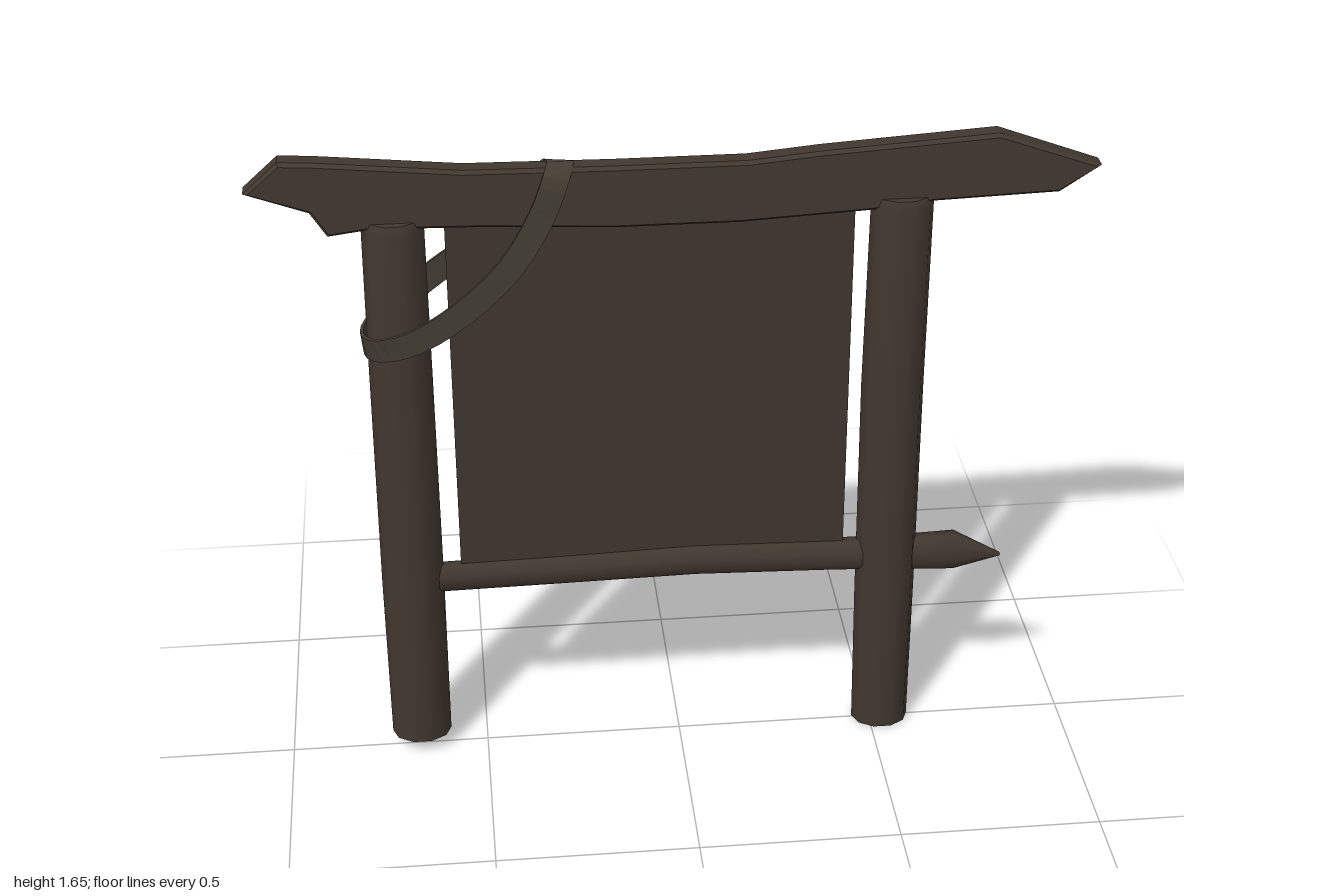
import * as THREE from 'three';

const wood = new THREE.MeshStandardMaterial({ color: 0x41372f });
wood.name = 'dark wood';
const board = new THREE.MeshStandardMaterial({ color: 0x3f352f });
board.name = 'panel brown';
const leather = new THREE.MeshStandardMaterial({ color: 0x423c32 });
leather.name = 'strap brown';

// Joins rings of points into a skin, optionally closing the ends or the loop
function skin(rings, { caps = false, loop = false } = {}) {
  const n = rings[0].length, pos = [], idx = [];
  rings.forEach(r => r.forEach(p => pos.push(p.x, p.y, p.z)));
  const spans = loop ? rings.length : rings.length - 1;
  for (let i = 0; i < spans; i++) {
    const k = (i + 1) % rings.length;
    for (let j = 0; j < n; j++) {
      const m = (j + 1) % n;
      const a = i * n + j, b = i * n + m, c = k * n + m, d = k * n + j;
      idx.push(a, b, c, a, c, d);
    }
  }
  if (caps) {
    [rings[0], rings[rings.length - 1]].forEach((r, e) => {
      const s = pos.length / 3;
      r.forEach(p => pos.push(p.x, p.y, p.z));
      for (let j = 1; j < n - 1; j++) {
        if (e) idx.push(s, s + j, s + j + 1);
        else idx.push(s, s + j + 1, s + j);
      }
    });
  }
  const g = new THREE.BufferGeometry();
  g.setAttribute('position', new THREE.Float32BufferAttribute(pos, 3));
  g.setIndex(idx);
  return g;
}

function add(group, name, geometry, material) {
  const mesh = new THREE.Mesh(geometry, material);
  mesh.name = name;
  group.add(mesh);
}

// Upright log: sections are [x, y, z, radiusX, radiusZ], bottom to top
function post(sections) {
  const rings = sections.map(([x, y, z, rx, rz]) => Array.from({ length: 10 }, (_, j) => {
    const t = -j / 10 * Math.PI * 2;
    return new THREE.Vector3(x + rx * Math.cos(t), y, z + rz * Math.sin(t));
  }));
  const g = skin(rings, { caps: true });
  g.computeVertexNormals();
  return g;
}

// Lying log: sections are [x, y, radiusY, radiusZ], from -x to +x
function rail(sections) {
  const rings = sections.map(([x, y, ry, rz]) => Array.from({ length: 8 }, (_, j) => {
    const t = (j + 0.5) / 8 * Math.PI * 2;
    return new THREE.Vector3(x, y + 1.08 * ry * Math.cos(t), -0.003 + 1.08 * rz * Math.sin(t));
  }));
  const g = skin(rings, { caps: true });
  g.computeVertexNormals();
  return g;
}

// Closed strap: points are [x, y, z, twist in degrees]
function strap(points, width, thick) {
  const path = new THREE.CatmullRomCurve3(points.map(p => new THREE.Vector3(p[0], p[1], p[2])), true);
  const N = points.length * 3, rings = [];
  for (let i = 0; i < N; i++) {
    const u = i / N, f = u * points.length, k = Math.floor(f);
    const a0 = points[k][3], a1 = points[(k + 1) % points.length][3];
    const a = THREE.MathUtils.degToRad(a0 + (a1 - a0) * (f - k));
    const p = path.getPoint(u), across = new THREE.Vector3(Math.cos(a), -Math.sin(a), 0);
    const out = path.getTangent(u).cross(across).normalize();
    rings.push([[1, 1], [-1, 1], [-1, -1], [1, -1]].map(([s, t]) => p.clone()
      .addScaledVector(across, s * width / 2).addScaledVector(out, t * thick / 2)));
  }
  const g = skin(rings, { loop: true }).toNonIndexed();
  g.computeVertexNormals();
  return g;
}

export function createModel() {
  const group = new THREE.Group();

  // Sagging top beam with rough hewn ends
  const outline = [
    [-1, 1.58], [-0.853, 1.526], [-0.815, 1.465], [-0.714, 1.478], [-0.47, 1.473],
    [-0.15, 1.457], [0.142, 1.457], [0.447, 1.473], [0.6, 1.49], [0.896, 1.5],
    [0.993, 1.564], [0.746, 1.655], [0.33, 1.628], [0.158, 1.612], [-0.15, 1.612],
    [-0.5, 1.617], [-0.837, 1.65], [-0.917, 1.655],
  ].map(p => new THREE.Vector2(...p));
  const beam = new THREE.ExtrudeGeometry(new THREE.Shape(outline), {
    depth: 0.04, bevelThickness: 0.01, bevelSize: 0.008, bevelOffset: -0.008, bevelSegments: 1,
  });
  beam.translate(0, 0, -0.025);
  add(group, 'topBeam', beam, wood);

  // Two posts, slightly crooked
  add(group, 'rightPost', post([
    [-0.668, 0.04, -0.005, 0.075, 0.06], [-0.668, 0.5, -0.005, 0.077, 0.065],
    [-0.667, 1.1, -0.003, 0.075, 0.064], [-0.666, 1.47, -0.005, 0.073, 0.06],
    [-0.666, 1.495, -0.005, 0.062, 0.052],
  ]), wood);
  add(group, 'leftPost', post([
    [0.529, 0, -0.005, 0.073, 0.06], [0.527, 0.4, -0.007, 0.076, 0.065],
    [0.524, 1.0, -0.007, 0.077, 0.064], [0.527, 1.48, -0.005, 0.075, 0.06],
    [0.527, 1.503, -0.005, 0.066, 0.052],
  ]), wood);

  // Bowed lower rail with a pointed end
  add(group, 'lowerRail', rail([
    [-0.64, 0.505, 0.036, 0.03], [-0.3, 0.511, 0.037, 0.03], [0.04, 0.519, 0.039, 0.031],
    [0.4, 0.51, 0.04, 0.031], [0.6, 0.505, 0.046, 0.03], [0.7, 0.504, 0.051, 0.028],
    [0.822, 0.482, 0.004, 0.004],
  ]), wood);

  // Hanging panel
  const panel = new THREE.BoxGeometry(0.962, 0.99, 0.008);
  panel.translate(-0.066, 1.015, -0.004);
  add(group, 'panel', panel, board);

  // Strap slung over the beam and around the post
  add(group, 'strap', strap([
    [-0.275, 1.617, -0.005, 0], [-0.288, 1.595, 0.038, 15], [-0.322, 1.51, 0.05, 27],
    [-0.4, 1.388, 0.068, 42], [-0.51, 1.288, 0.082, 52], [-0.63, 1.215, 0.085, 60],
    [-0.715, 1.183, 0.055, 72], [-0.75, 1.175, -0.005, 84], [-0.715, 1.2, -0.065, 70],
    [-0.63, 1.265, -0.092, 54], [-0.54, 1.335, -0.092, 46], [-0.42, 1.425, -0.078, 40],
    [-0.325, 1.53, -0.06, 27], [-0.288, 1.595, -0.047, 15],
  ], 0.062, 0.008), leather);

  return group;
}
